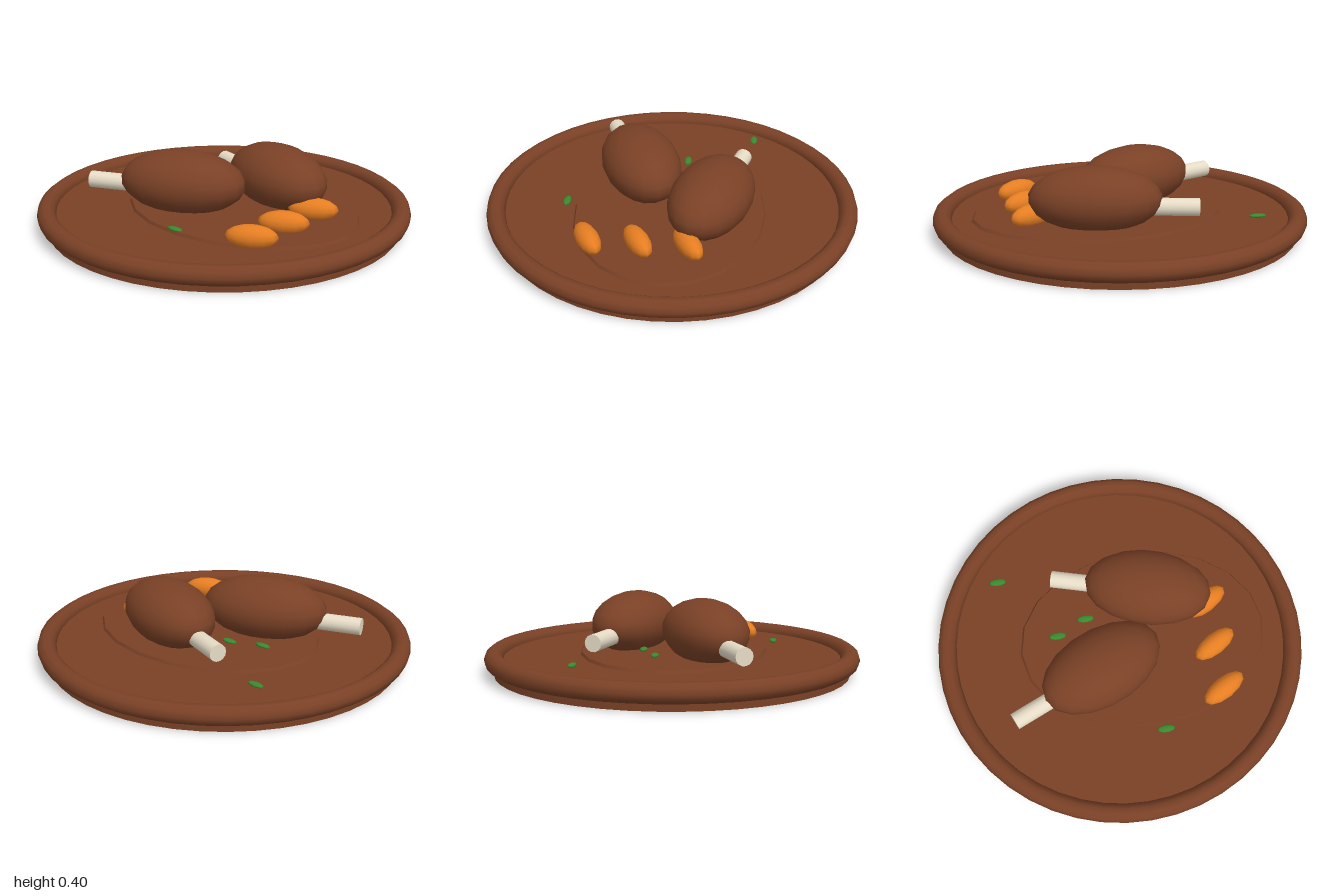
import * as THREE from 'three';

const brown = new THREE.MeshStandardMaterial({ name: 'roasted brown', color: 0x7a4126 });
const boneWhite = new THREE.MeshStandardMaterial({ name: 'bone white', color: 0xe6dcc6 });
const orange = new THREE.MeshStandardMaterial({ name: 'carrot orange', color: 0xe67e22 });
const green = new THREE.MeshStandardMaterial({ name: 'herb green', color: 0x3a8a2e });

function add(parent, name, geometry, material, x = 0, y = 0, z = 0) {
  const mesh = new THREE.Mesh(geometry, material);
  mesh.name = name;
  mesh.position.set(x, y, z);
  parent.add(mesh);
  return mesh;
}

const ellipsoid = (rx, ry, rz, w, h) => new THREE.SphereGeometry(1, w, h).scale(rx, ry, rz);

// Meat with a bone sticking out towards local -x
function drumstick(name, x, z, turn) {
  const group = new THREE.Group();
  group.name = name;
  add(group, 'meat', ellipsoid(0.347, 0.17, 0.21, 18, 11), brown, 0, 0.23, 0);
  const bone = new THREE.CylinderGeometry(0.046, 0.046, 0.3, 14).rotateZ(Math.PI / 2);
  add(group, 'bone', bone, boneWhite, -0.385, 0.19, 0);
  group.position.set(x, 0, z);
  group.rotation.y = turn;
  return group;
}

export function createModel() {
  const model = new THREE.Group();
  model.name = 'dinnerPlate';

  // Plate
  add(model, 'plateBase', new THREE.CylinderGeometry(0.95, 0.95, 0.085, 48), brown, 0, 0.0425, 0);
  add(model, 'plateRim', new THREE.TorusGeometry(0.95, 0.05, 10, 48).rotateX(Math.PI / 2), brown, 0, 0.085, 0);

  // Sauce puddle
  const sauce = new THREE.CylinderGeometry(0.98, 1, 0.02, 20).scale(0.68, 1, 0.513);
  add(model, 'sauce', sauce, brown, 0.125, 0.09, 0);

  // Drumsticks
  model.add(drumstick('frontDrumstick', -0.13, 0.185, 0.4));
  model.add(drumstick('rearDrumstick', 0.19, -0.225, -0.29));

  // Carrots
  for (const z of [-0.127, 0.125, 0.378]) {
    add(model, 'carrot', ellipsoid(0.131, 0.06, 0.058, 12, 8), orange, 0.502, 0.137, z).rotation.y = 0.52;
  }

  // Herb leaves
  for (const [x, z] of [[-0.62, -0.43], [-0.335, -0.06], [-0.17, -0.135], [0.157, 0.547]]) {
    add(model, 'herb', ellipsoid(0.048, 0.01, 0.021, 10, 6), green, x, 0.137, z);
  }

  return model;
}
